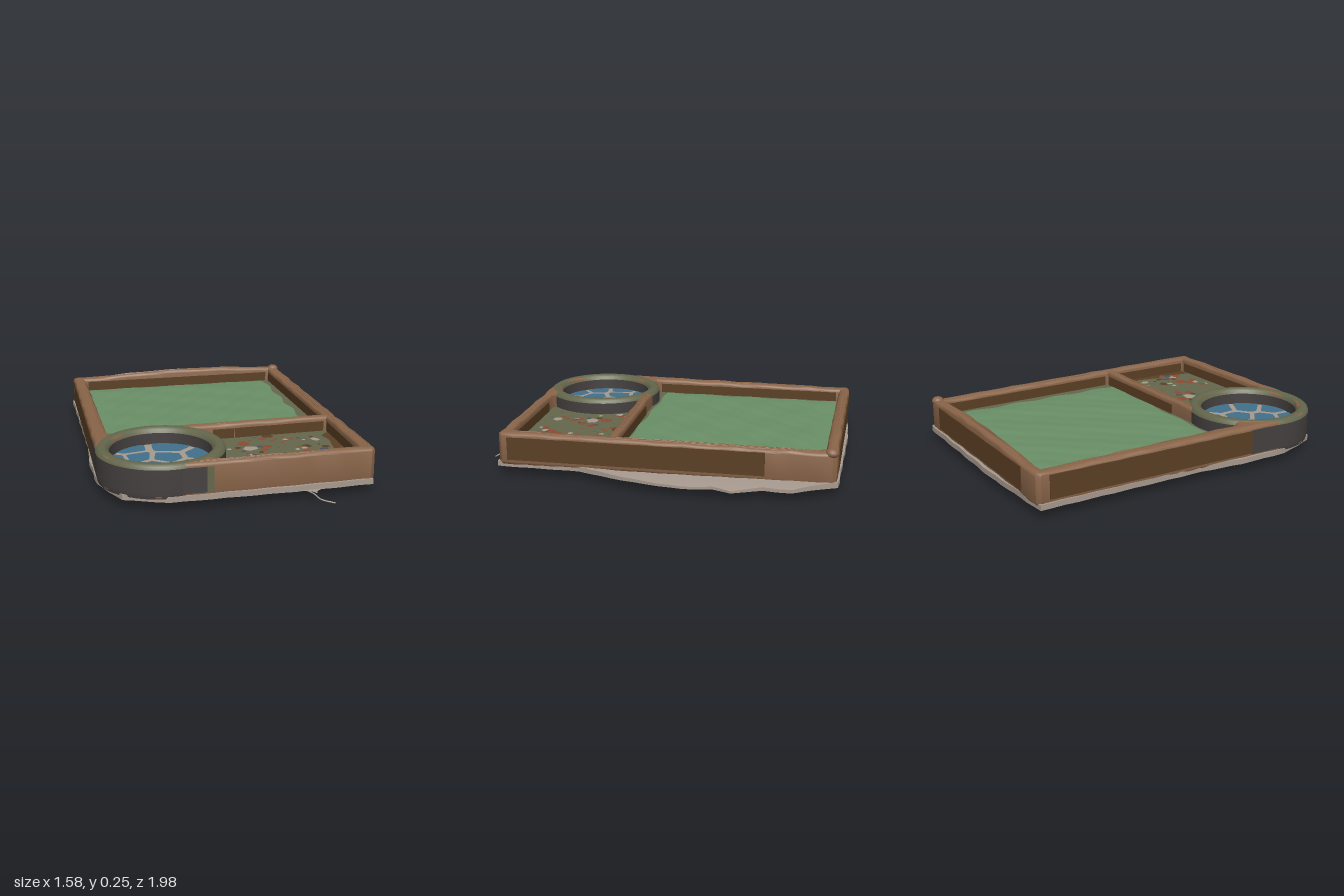
import * as THREE from 'three';
import { toCreasedNormals } from 'three/addons/utils/BufferGeometryUtils.js';

const mat = (name, color) => {
  const m = new THREE.MeshStandardMaterial({ color });
  m.name = name;
  return m;
};
const M = {
  brown: mat('clay brown', 0x8a6549),
  dark: mat('dark brown', 0x5c4024),
  green: mat('lawn green', 0x6a9068),
  olive: mat('olive', 0x64674c),
  charcoal: mat('charcoal', 0x464141),
  pale: mat('pale stone', 0xa89a8f),
  blue: mat('water blue', 0x42708c),
  rust: mat('rust', 0x8c4a34),
  slate: mat('slate', 0x48525e),
  under: mat('underside grey', 0x857a75),
};
const POND = { x: -0.44, z: 0.55 };
const FLOOR = 0.15;

let seed = 7;
const rand = () => (seed = (seed * 16807) % 2147483647) / 2147483647;

// Points on an arc round the pond, angles in degrees
function pondArc(r, from, to, n = 20) {
  return Array.from({ length: n + 1 }, (_, i) => {
    const a = THREE.MathUtils.degToRad(from + ((to - from) * i) / n);
    return [POND.x + r * Math.cos(a), POND.z + r * Math.sin(a)];
  });
}

// Splits long edges and shifts the points a little for a hand-shaped line
function wobble(points, amount = 0.003) {
  const out = [];
  points.forEach(([x, z], i) => {
    const [x2, z2] = points[(i + 1) % points.length];
    const n = Math.max(1, Math.round(Math.hypot(x2 - x, z2 - z) / 0.07));
    for (let k = 0; k < n; k++) {
      const px = x + ((x2 - x) * k) / n, pz = z + ((z2 - z) * k) / n;
      out.push(new THREE.Vector2(px + amount * Math.sin(31 * pz + 5 * px), pz + amount * Math.sin(27 * px + 3 * pz)));
    }
  });
  return out;
}

export function createModel() {
  const model = new THREE.Group();
  model.name = 'gardenTray';
  const add = (name, geometry, material, parent = model) => {
    const mesh = new THREE.Mesh(geometry, material);
    mesh.name = name;
    parent.add(mesh);
    return mesh;
  };
  // Flat face pointing up, from [x, z] points
  const flat = (name, pts, y, material, parent) => {
    const g = new THREE.ShapeGeometry(new THREE.Shape(pts.map(([x, z]) => new THREE.Vector2(x, -z))));
    add(name, g.rotateX(-Math.PI / 2).translate(0, y, 0), material, parent);
  };
  // Thin painted plate standing on the line a-b
  const plate = (name, a, b, y0, y1, material) => {
    const dx = b[0] - a[0], dz = b[1] - a[1];
    const p = add(name, new THREE.BoxGeometry(Math.hypot(dx, dz), y1 - y0, 0.009), material);
    p.position.set((a[0] + b[0]) / 2, (y0 + y1) / 2, (a[1] + b[1]) / 2);
    p.rotation.y = -Math.atan2(dz, dx);
  };

  // Tray frame with three openings
  const outer = [[-0.77, -0.95], [-0.75, -0.97], [0.59, -0.97], [0.61, -0.95], [0.64, 0.83], [0.62, 0.85],
    ...pondArc(0.335, 90, 180)];
  const lawnHole = [[-0.7, -0.91], [0.54, -0.91], [0.56, 0.2], [-0.2, 0.22], ...pondArc(0.33, -80, -130, 8), [-0.69, 0.27]];
  const gardenHole = [[0.57, 0.25], [0.57, 0.79], [-0.18, 0.82], ...pondArc(0.33, 48, -55)];
  const frameShape = new THREE.Shape(wobble(outer));
  for (const hole of [lawnHole, gardenHole, pondArc(0.275, 0, 351, 39)]) {
    frameShape.holes.push(new THREE.Path(wobble(hole, 0.002)));
  }
  const bevel = 0.018, top = 0.232, bottom = 0.055;
  let frame = new THREE.ExtrudeGeometry(frameShape, {
    depth: top - bottom - 2 * bevel, bevelThickness: bevel, bevelSize: bevel, bevelOffset: -bevel, bevelSegments: 3,
  });
  frame.rotateX(Math.PI / 2).translate(0, top - bevel, 0);
  const p = frame.attributes.position;
  for (let i = 0; i < p.count; i++) {
    const x = p.getX(i), y = p.getY(i), z = p.getZ(i);
    if (y < 0.15) continue;
    const hump = z < -0.85 ? 0.025 * Math.max(0, 1 - (x / 0.6) ** 2) : 0;
    p.setY(i, y + hump + 0.006 * z + 0.002 * Math.sin(19 * x + 23 * z));
  }
  add('frame', toCreasedNormals(frame, 0.7), M.brown);
  const knob = add('cornerKnob', new THREE.SphereGeometry(0.035, 16, 10), M.brown);
  knob.position.set(0.58, 0.222, -0.94);
  knob.scale.y = 0.75;

  // Dark paint on outer and inner walls
  plate('rightWallPaint', [0.616, -0.6], [0.639, 0.8], 0.085, 0.212, M.dark);
  plate('backWallPaint', [-0.6, -0.97], [0.48, -0.97], 0.085, 0.212, M.dark);
  plate('leftWallPaint', [-0.77, -0.9], [-0.774, 0.32], 0.085, 0.212, M.dark);
  const inner = [
    [[-0.7, -0.89], [-0.692, 0.24]], [[-0.68, -0.91], [0.52, -0.91]], [[0.54, -0.89], [0.56, 0.18]],
    [[-0.15, 0.219], [0.54, 0.2]], [[0.57, 0.27], [0.57, 0.77]], [[-0.1, 0.817], [0.55, 0.791]], [[-0.1, 0.271], [0.55, 0.251]],
  ];
  for (const [a, b] of inner) plate('innerWallPaint', a, b, FLOOR, 0.206, M.dark);
  plate('pondFrontPaint', [-0.47, 0.885], [-0.26, 0.8793], 0.08, 0.215, M.charcoal);
  plate('pondFrontEdge', [-0.26, 0.8793], [-0.225, 0.878], 0.08, 0.215, M.olive);
  plate('pondSidePaint', [-0.775, 0.58], [-0.774, 0.32], 0.08, 0.215, M.charcoal);

  // Lawn with a soft uneven surface and olive border
  flat('lawnBorder', lawnHole, FLOOR, M.olive);
  const lawn = new THREE.PlaneGeometry(1.18, 1.1, 40, 40).rotateX(-Math.PI / 2).translate(-0.09, 0, -0.35);
  const lp = lawn.attributes.position;
  for (let i = 0; i < lp.count; i++) {
    const x = lp.getX(i), z = lp.getZ(i);
    const edge = Math.min(x + 0.68, 0.5 - x, z + 0.9, 0.2 - z);
    const bumps = 0.002 * (Math.sin(17 * x + 9 * z) + Math.sin(21 * z - 11 * x) + 0.6 * Math.sin(41 * x + 35 * z));
    lp.setY(i, FLOOR + 0.001 + Math.min(1, edge / 0.1) * (0.008 + bumps));
    if (edge < 0.001) lp.setXYZ(i, x + 0.01 * Math.sin(23 * z), FLOOR + 0.001, z + 0.006 * Math.sin(19 * x));
  }
  lawn.computeVertexNormals();
  add('lawn', lawn, M.green);

  // Pebble garden
  flat('gardenFloor', gardenHole, FLOOR, M.olive);
  flat('gardenEdge', [[0.57, 0.28], [0.57, 0.78], [0.5, 0.78], [0.52, 0.66], [0.51, 0.55], [0.53, 0.42], [0.51, 0.34]],
    FLOOR + 0.001, M.dark);
  const pebbles = new THREE.Group();
  pebbles.name = 'pebbles';
  model.add(pebbles);
  const pebble = (x, z, r, material, i) => {
    const stretch = 0.7 + 0.6 * rand(), turn = rand() * 6;
    const pts = Array.from({ length: 10 }, (_, k) => {
      const a = (k / 10) * Math.PI * 2, s = r * (0.85 + 0.3 * rand());
      const u = s * Math.cos(a), v = s * stretch * Math.sin(a);
      return [x + u * Math.cos(turn) - v * Math.sin(turn), z + u * Math.sin(turn) + v * Math.cos(turn)];
    });
    flat('pebble', pts, FLOOR + 0.002 + i * 0.00006, material, pebbles);
  };
  const paint = [M.rust, M.rust, M.slate, M.rust, M.dark, M.rust, M.pale];
  for (let i = 0; i < 75; i++) {
    const x = -0.1 + 0.62 * rand(), z = 0.3 + 0.47 * rand();
    if (Math.hypot(x - POND.x, z - POND.z) < 0.38) continue;
    pebble(x, z, 0.007 + 0.02 * rand() ** 1.5, paint[i % 7], i);
  }
  [[0.06, 0.49, 0.035], [0.45, 0.41, 0.03], [0.07, 0.7, 0.028], [-0.09, 0.365, 0.024], [0.3, 0.7, 0.02]]
    .forEach(([x, z, r], i) => pebble(x, z, r, M.pale, 80 + i));
  [[0.04, 0.41, 0.038], [0.35, 0.62, 0.036], [0.31, 0.66, 0.03], [0.47, 0.67, 0.03], [0.13, 0.53, 0.022]]
    .forEach(([x, z, r], i) => pebble(x, z, r, M.rust, 90 + i));

  // Pond: rim, pale bed and rounded blue cells
  const pond = new THREE.Group();
  pond.name = 'pond';
  pond.position.set(POND.x, 0, POND.z);
  model.add(pond);
  const lathe = (name, pts, material) =>
    add(name, new THREE.LatheGeometry(pts.map(([r, y]) => new THREE.Vector2(r, y)), 48), material, pond);
  lathe('pondOuterWall', [[0.335, 0.06], [0.342, 0.09], [0.342, 0.215]], M.charcoal);
  lathe('pondRim', [[0.342, 0.215], [0.336, 0.23], [0.32, 0.24], [0.295, 0.24], [0.278, 0.23], [0.27, 0.212]], M.olive);
  lathe('pondInnerWall', [[0.27, 0.212], [0.268, 0.14]], M.charcoal);
  const R = 0.272;
  add('pondBed', new THREE.CircleGeometry(R, 48).rotateX(-Math.PI / 2).translate(0, FLOOR, 0), M.pale, pond);
  const cells = [[-0.15, -0.2], [0.08, -0.19], [-0.12, -0.06], [0.04, -0.03], [0.22, -0.04], [-0.23, -0.05],
    [-0.2, 0.11], [-0.05, 0.09], [0.15, 0.11], [0.05, 0.22], [-0.11, 0.21]];
  for (const [cx, cz] of cells) {
    const pts = Array.from({ length: 36 }, (_, k) => {
      const a = (k / 36) * Math.PI * 2, ux = Math.cos(a), uz = Math.sin(a);
      const along = cx * ux + cz * uz;
      const rim = -along + Math.sqrt(along * along + R * R - cx * cx - cz * cz);
      let d = 0.14;
      for (const [ox, oz] of cells) {
        const vx = ox - cx, vz = oz - cz, dot = vx * ux + vz * uz;
        if (dot > 0.001) d = Math.min(d, (vx * vx + vz * vz) / 2 / dot);
      }
      d = Math.min(0.83 * d, rim - 0.002);
      return [cx + d * ux, cz + d * uz];
    });
    flat('waterCell', pts, FLOOR + 0.003, M.blue, pond);
  }

  // Ragged base sheet spreading out on one side
  const sheet = [[-0.78, -0.96], [-0.25, -0.99], [0.6, -0.98], [0.66, -0.85], [0.73, -0.75], [0.72, -0.6], [0.79, -0.45],
    [0.755, -0.35], [0.78, -0.2], [0.75, 0], [0.7, 0.2], [0.63, 0.4], [0.63, 0.86], [0.2, 0.88], [-0.45, 0.89],
    [-0.68, 0.8], [-0.78, 0.55], [-0.79, 0.25], [-0.77, 0]];
  const sheetShape = new THREE.Shape(wobble(sheet));
  let base = new THREE.ExtrudeGeometry(sheetShape, { depth: 0.03, bevelEnabled: false });
  base.rotateX(Math.PI / 2).translate(0, 0.072, 0);
  const bp = base.attributes.position;
  for (let i = 0; i < bp.count; i++) {
    const out = Math.max(0, bp.getX(i) - 0.62) / 0.17;
    if (bp.getY(i) > 0.06) bp.setY(i, 0.072 - 0.018 * out);
  }
  add('baseSheet', toCreasedNormals(base, 0.6), M.pale);
  add('underside', new THREE.ShapeGeometry(sheetShape).rotateX(Math.PI / 2).translate(0, 0.038, 0), M.under);

  // Loose wisp at the front edge
  const wisp = new THREE.CatmullRomCurve3([[0.25, 0.045, 0.86], [0.29, 0.032, 0.9], [0.315, 0.016, 0.945], [0.38, 0.004, 0.98]]
    .map((v) => new THREE.Vector3(...v)));
  add('wisp', new THREE.TubeGeometry(wisp, 16, 0.004, 6), M.pale);
  flat('wispRoot', [[0.18, 0.86], [0.36, 0.86], [0.31, 0.9], [0.3, 0.93], [0.28, 0.9]], 0.045, M.pale);
  return model;
}
